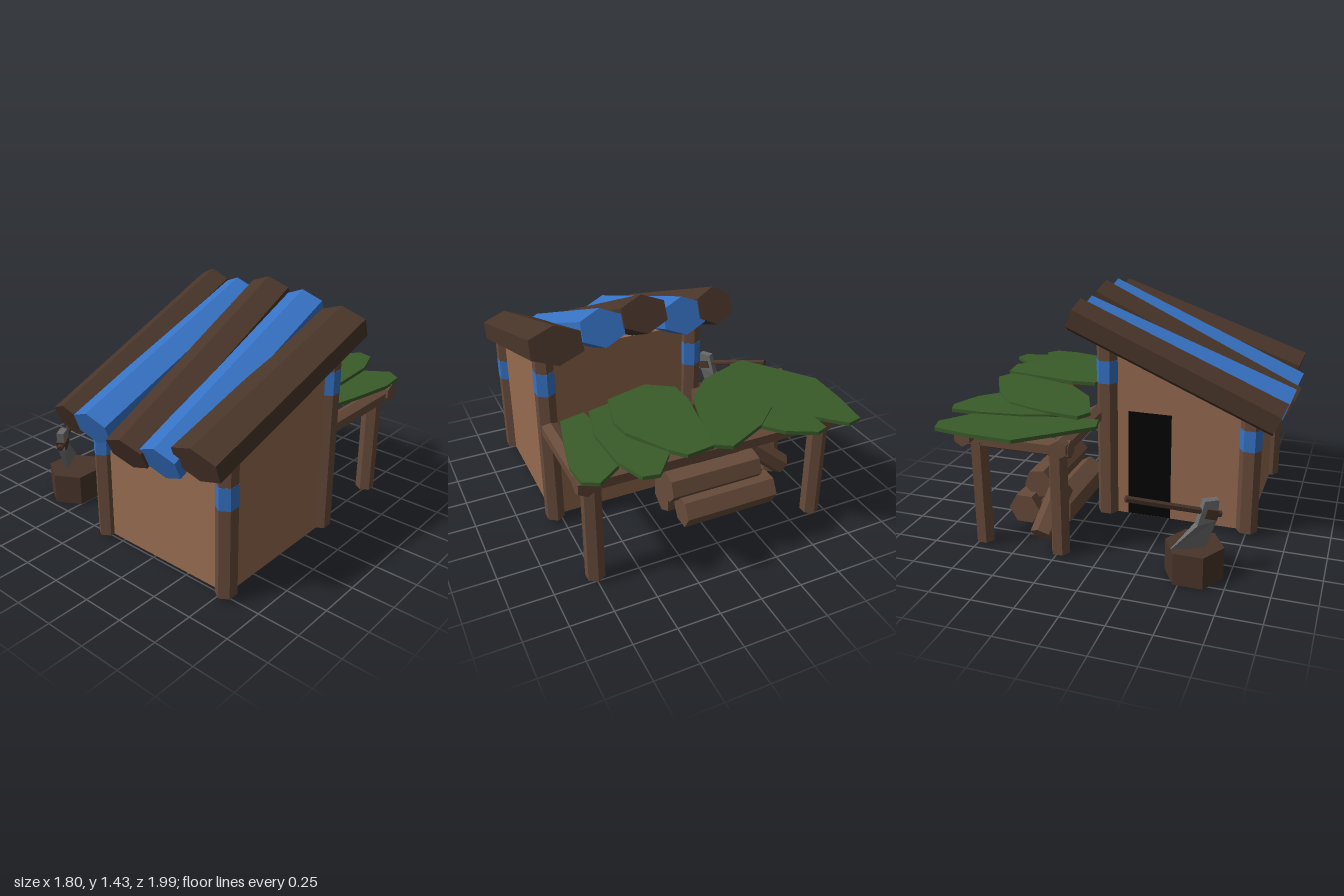
import * as THREE from 'three';

const mat = (color, extra = {}) => new THREE.MeshStandardMaterial({ color, flatShading: true, ...extra });
const TAN = mat(0x966b50), POST = mat(0x674b3a), DARK = mat(0x49352a), BLUE = mat(0x3672c4);
const GREEN = mat(0x3a5c2a), STEEL = mat(0x6a6a6a), BLACK = mat(0x040404);

function add(parent, name, geometry, material) {
  const mesh = new THREE.Mesh(geometry, material);
  mesh.name = name;
  parent.add(mesh);
  return mesh;
}

// six-sided log from a to b, with a corner pointing up (or to +z when it stands)
function log(parent, name, a, b, radius, material, { widen = 1, spin = 0 } = {}) {
  const from = new THREE.Vector3(...a), to = new THREE.Vector3(...b);
  const dir = to.clone().sub(from);
  const geometry = new THREE.CylinderGeometry(radius, radius, dir.length(), 6);
  geometry.rotateY(spin);
  geometry.scale(widen, 1, 1);
  dir.normalize();
  const ref = Math.abs(dir.y) > 0.95 ? new THREE.Vector3(0, 0, 1) : new THREE.Vector3(0, 1, 0);
  const side = dir.clone().cross(ref).normalize();
  const mesh = add(parent, name, geometry, material);
  mesh.quaternion.setFromRotationMatrix(
    new THREE.Matrix4().makeBasis(side, dir, side.clone().cross(dir)));
  mesh.position.copy(from).add(to).multiplyScalar(0.5);
  return mesh;
}

const polygon = (points) => new THREE.Shape(points.map((p) => new THREE.Vector2(...p)));
const extrude = (points, depth) =>
  new THREE.ExtrudeGeometry(polygon(points), { depth, bevelEnabled: false });

function buildHut() {
  const hut = new THREE.Group();
  hut.name = 'hut';
  const x0 = -0.11, x1 = 0.8, zf = 0.76, zb = -0.13, base = 0.03, t = 0.04;

  // hollow walls, open below, the side walls following the roof slope
  for (const x of [x0, x1 - t]) {
    const wall = extrude([[-zf, base], [-zb, base], [-zb, 1.15], [-zf, 0.84]], t);
    wall.rotateY(Math.PI / 2);
    wall.translate(x, 0, 0);
    add(hut, 'sideWall', wall, TAN);
  }
  const width = x1 - x0 - 2 * t;
  for (const [name, z, top] of [['frontWall', zf - t / 2, 0.84], ['backWall', zb + t / 2, 1.13]]) {
    add(hut, name, new THREE.BoxGeometry(width, top - base, t), TAN)
      .position.set((x0 + x1) / 2, (top + base) / 2, z);
  }
  add(hut, 'doorway', new THREE.BoxGeometry(0.01, 0.68, 0.27), BLACK).position.set(x0 - 0.003, 0.375, 0.14);

  // corner posts with painted bands
  for (const x of [-0.11, 0.79]) {
    for (const [z, top, low, high] of [[0.755, 0.84, 0.56, 0.69], [-0.13, 1.14, 0.89, 1.03]]) {
      log(hut, 'cornerPost', [x, base, z], [x, top, z], 0.065, POST, { widen: 0.9 });
      log(hut, 'postBand', [x, low, z], [x, high, z], 0.067, BLUE, { widen: 0.9 });
    }
  }

  // roof logs: front x, front y, back x, back y, widening
  const roof = [
    [-0.19, 0.79, -0.178, 1.305, 1.08, 0.925],
    [0.018, 0.81, 0.014, 1.28, 1.3, 0.945],
    [0.27, 0.745, 0.253, 1.335, 1.36, 0.94],
    [0.5, 0.765, 0.495, 1.3, 1.28, 0.93],
    [0.727, 0.835, 0.755, 1.25, 1.55, 0.92],
  ];
  roof.forEach(([xa, ya, xb, yb, widen, z], i) =>
    log(hut, 'roofLog', [xa, ya, z], [xb, yb, -0.305], 0.108, i % 2 ? BLUE : DARK, { widen }));
  return hut;
}

function buildLeanTo() {
  const leanTo = new THREE.Group();
  leanTo.name = 'leanTo';
  for (const [x, z] of [[0.75, -0.715], [-0.66, -0.715], [-0.66, -0.23]]) {
    log(leanTo, 'leanToPost', [x, 0.015, z], [x, 0.66, z], 0.057, POST);
  }
  const beams = [
    [[-0.76, 0.695, -0.77], [0.85, 0.695, -0.77]],
    [[-0.73, 0.68, -0.2], [-0.1, 0.68, -0.2]],
    [[-0.66, 0.665, -0.15], [-0.66, 0.665, -0.79]],
    [[0.79, 0.67, -0.15], [0.79, 0.67, -0.79]],
  ];
  for (const [a, b] of beams) log(leanTo, 'leanToBeam', a, b, 0.054, POST);

  // overlapping roof leaves: height, tilt in x, tilt in z, outline in x and z
  const leaves = [
    [0.737, 0.04, 0, [[-0.79, -0.92], [-0.7, -0.945], [-0.55, -0.81], [-0.52, -0.6], [-0.46, -0.3],
      [-0.43, -0.07], [-0.53, -0.05], [-0.69, -0.25], [-0.83, -0.43], [-0.82, -0.7]]],
    [0.757, 0.03, 0, [[-0.54, -0.95], [-0.47, -0.975], [-0.31, -0.9], [-0.2, -0.78], [-0.2, -0.5],
      [-0.35, -0.3], [-0.46, -0.33], [-0.51, -0.5], [-0.54, -0.75]]],
    [0.775, 0.03, 0.01, [[-0.22, -0.8], [0.03, -0.93], [0.12, -0.88], [0.1, -0.75], [0, -0.4],
      [-0.16, -0.23], [-0.4, -0.13], [-0.48, -0.18], [-0.45, -0.4], [-0.37, -0.66]]],
    [0.795, 0, 0.01, [[0.13, -0.9], [0.29, -0.92], [0.36, -0.84], [0.5, -0.6], [0.52, -0.48],
      [0.46, -0.24], [0.2, -0.17], [0.05, -0.27], [0.04, -0.42], [0.1, -0.75]]],
    [0.77, -0.02, -0.03, [[0.36, -0.85], [0.48, -1], [0.57, -0.98], [0.63, -0.8], [0.64, -0.5],
      [0.58, -0.25], [0.45, -0.22], [0.38, -0.5]]],
    [0.742, -0.03, -0.02, [[0.62, -0.8], [0.76, -0.9], [0.84, -0.85], [0.85, -0.7], [0.8, -0.45],
      [0.75, -0.25], [0.6, -0.22], [0.56, -0.55]]],
  ];
  for (const [y, tiltX, tiltZ, outline] of leaves) {
    const leaf = extrude(outline.map(([x, z]) => [x, -z]).reverse(), 0.022);
    leaf.rotateX(-Math.PI / 2);
    const [cx, cz] = [0, 1].map((k) => outline.reduce((s, p) => s + p[k], 0) / outline.length);
    const p = leaf.attributes.position;
    for (let i = 0; i < p.count; i++) {
      p.setY(i, p.getY(i) + y + tiltX * (p.getX(i) - cx) + tiltZ * (p.getZ(i) - cz));
    }
    leaf.computeVertexNormals();
    add(leanTo, 'roofLeaf', leaf, GREEN);
  }
  return leanTo;
}

function buildFirewood() {
  const pile = new THREE.Group();
  pile.name = 'firewood';
  log(pile, 'firewoodLog', [-0.42, 0.14, -0.36], [0.18, 0.14, -0.36], 0.11, POST);
  log(pile, 'firewoodLog', [-0.46, 0.14, -0.55], [0.14, 0.14, -0.55], 0.1, POST, { spin: Math.PI / 6 });
  log(pile, 'firewoodLog', [-0.39, 0.285, -0.48], [0.2, 0.285, -0.48], 0.095, POST, { spin: 0.35 });
  log(pile, 'leaningLog', [-0.68, 0.11, -0.34], [-0.43, 0.315, -0.31], 0.07, POST);
  return pile;
}

function buildChoppingBlock() {
  const block = new THREE.Group();
  block.name = 'choppingBlock';
  log(block, 'stump', [-0.64, 0, 0.555], [-0.64, 0.19, 0.555], 0.167, DARK);

  // axe stuck in the stump, its local +x running along the handle
  const axe = new THREE.Group();
  axe.name = 'axe';
  axe.position.set(-0.645, 0, 0.63);
  axe.rotation.y = 2.13;
  const blade = extrude([[0.21, 0.2], [0.07, 0.33], [0.03, 0.47], [-0.05, 0.47], [-0.04, 0.35], [0.02, 0.18]].reverse(), 0.045);
  blade.translate(0, 0, -0.0225);
  // thin the blade towards its cutting edge
  const p = blade.attributes.position;
  for (let i = 0; i < p.count; i++) if (p.getY(i) < 0.25) p.setZ(i, p.getZ(i) * 0.2);
  blade.computeVertexNormals();
  add(axe, 'axeHead', blade, STEEL);
  log(axe, 'axeHandle', [-0.07, 0.375, 0], [0.46, 0.53, 0], 0.019, DARK);
  const collar = add(axe, 'axeCollar', new THREE.BoxGeometry(0.07, 0.055, 0.06), DARK);
  collar.position.set(-0.01, 0.39, 0);
  collar.rotation.z = 0.28;
  block.add(axe);
  return block;
}

export function createModel() {
  const model = new THREE.Group();
  model.name = 'woodcutterHut';
  model.add(buildHut(), buildLeanTo(), buildFirewood(), buildChoppingBlock());
  return model;
}
